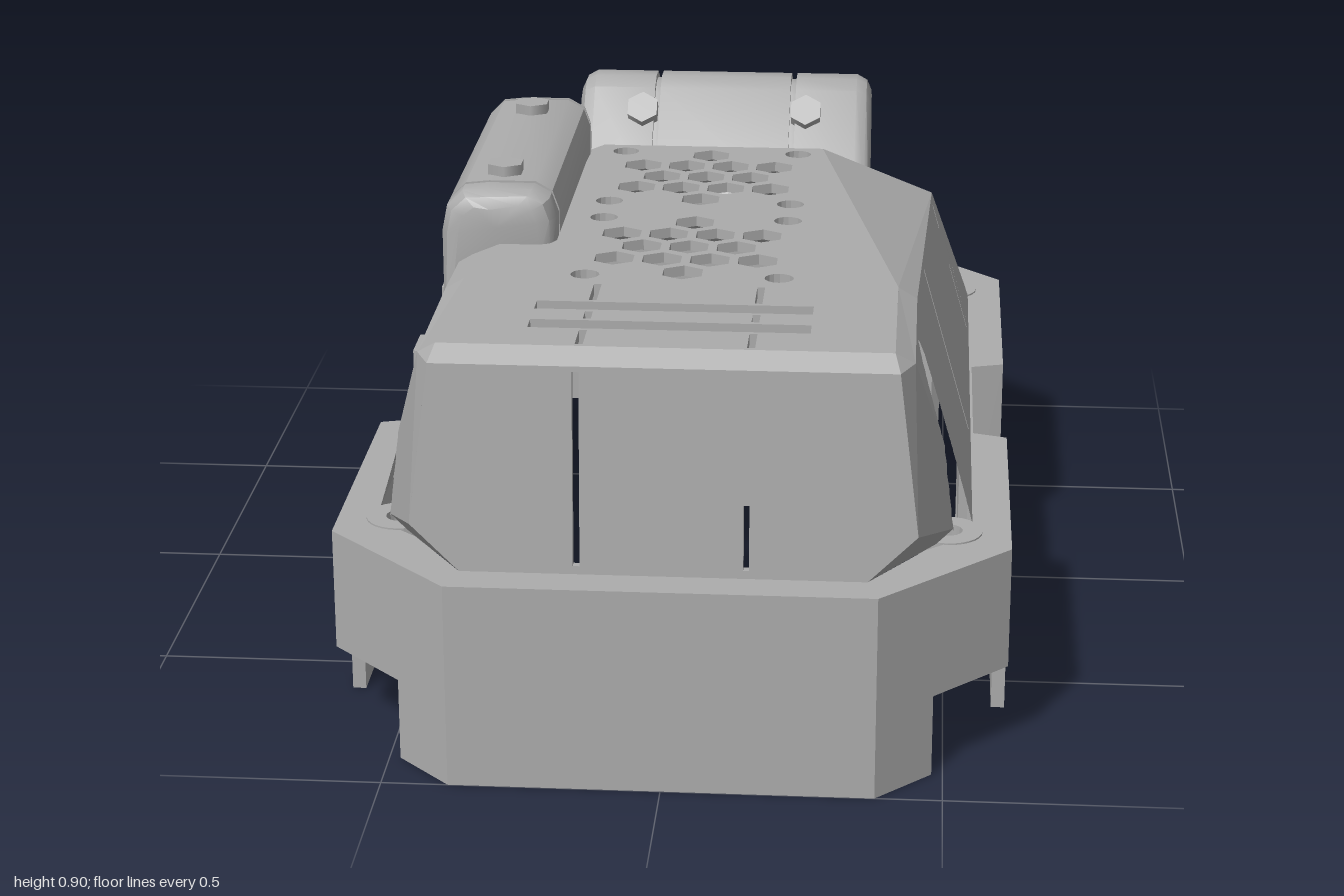
import * as THREE from 'three';
import { mergeGeometries, toCreasedNormals } from 'three/addons/utils/BufferGeometryUtils.js';

const shellGrey = new THREE.MeshStandardMaterial({ color: 0xacacac, side: THREE.DoubleSide });
shellGrey.name = 'shellGrey';

const shapeOf = (pts) => new THREE.Shape(pts.map(([a, b]) => new THREE.Vector2(a, b)));
const rect = (a0, a1, b0, b1) => [[a0, b0], [a1, b0], [a1, b1], [a0, b1]];
const ngon = (a, b, r, n, turn = 0) => Array.from({ length: n }, (_, i) => {
  const t = turn + (i / n) * Math.PI * 2;
  return [a + r * Math.cos(t), b + r * Math.sin(t)];
});

// Flat panel with holes, drawn in 2D and carried to 3D by map(a, b, depth)
function sheet(outline, holes, depth, map) {
  const shape = shapeOf(outline);
  shape.holes = holes.map(shapeOf);
  const g = new THREE.ExtrudeGeometry(shape, { depth, bevelEnabled: false });
  const p = g.attributes.position;
  for (let i = 0; i < p.count; i++) p.setXYZ(i, ...map(p.getX(i), p.getY(i), p.getZ(i)));
  g.computeVertexNormals();
  return g;
}

function fromTriangles(pos) {
  const g = new THREE.BufferGeometry();
  g.setAttribute('position', new THREE.Float32BufferAttribute(pos, 3));
  g.computeVertexNormals();
  return g;
}

// Triangular facet; with a screw position, an upright cylinder is cut out of it
function facet(side, a, b, c, screw, r = 0.06) {
  const n = screw ? 28 : 1, out = [];
  const [A, B, C] = [a, b, c].map((p) => new THREE.Vector3(...p));
  const plane = new THREE.Plane().setFromCoplanarPoints(A, B, C), N = plane.normal;
  const at = (i, j) => A.clone().addScaledVector(B.clone().sub(A), i / n).addScaledVector(C.clone().sub(A), j / n);
  const add = (...tri) => {
    if (screw) {
      const mx = (tri[0].x + tri[1].x + tri[2].x) / 3, mz = (tri[0].z + tri[1].z + tri[2].z) / 3;
      if (Math.hypot(mx - screw[0], mz - screw[1]) < r) return;
    }
    for (const v of tri) {
      if (screw) {
        const dx = v.x - screw[0], dz = v.z - screw[1], d = Math.hypot(dx, dz);
        if (d < r && d > 0.001) {
          v.x = screw[0] + (dx * r) / d;
          v.z = screw[1] + (dz * r) / d;
          v.y = Math.max(0.385, -(plane.constant + N.x * v.x + N.z * v.z) / N.y);
        }
      }
      out.push(side * v.x, v.y, v.z);
    }
  };
  for (let i = 0; i < n; i++) for (let j = 0; j < n - i; j++) {
    add(at(i, j), at(i + 1, j), at(i, j + 1));
    if (i + j < n - 1) add(at(i + 1, j), at(i + 1, j + 1), at(i, j + 1));
  }
  return fromTriangles(out);
}

// Closed profile swept along stations [position, inset], with capped ends
function loft(profile, stations, map, skip = () => false) {
  const n = profile.length, out = [];
  const ca = profile.reduce((s, p) => s + p[0], 0) / n, cb = profile.reduce((s, p) => s + p[1], 0) / n;
  const rings = stations.map(([s, inset]) => profile.map(([a, b]) => {
    const k = 1 - inset / Math.hypot(a - ca, b - cb);
    return map(ca + (a - ca) * k, cb + (b - cb) * k, s);
  }));
  for (let i = 0; i < rings.length - 1; i++) for (let j = 0; j < n; j++) {
    if (skip(j, (stations[i][0] + stations[i + 1][0]) / 2)) continue;
    const k = (j + 1) % n, [p, q, r, s] = [rings[i][j], rings[i][k], rings[i + 1][k], rings[i + 1][j]];
    out.push(...p, ...q, ...r, ...p, ...r, ...s);
  }
  for (const e of [0, rings.length - 1]) for (let j = 0; j < n; j++) {
    const tri = [map(ca, cb, stations[e][0]), rings[e][j], rings[e][(j + 1) % n]];
    out.push(...(e ? tri : tri.reverse()).flat());
  }
  return toCreasedNormals(fromTriangles(out), 0.6);
}
const groove = (s) => [[s - 0.006, 0], [s - 0.006, 0.014], [s + 0.006, 0.014], [s + 0.006, 0]];

export function createModel() {
  const model = new THREE.Group();
  const add = (name, geos) => {
    const list = [].concat(geos).map((g) => (g.index ? g.toNonIndexed() : g));
    list.forEach((g) => g.deleteAttribute('uv'));
    const mesh = new THREE.Mesh(mergeGeometries(list), shellGrey);
    mesh.name = name;
    model.add(mesh);
    return mesh;
  };

  // Skirt: plan points [x, z, bottom height of the wall leading to the point]
  const N = 0.155;
  const frontHalf = [[0, 1, 0], [0.38, 1, 0], [0.48, 0.9, 0], [0.615, 0.765, N], [0.615, 0.615, N], [0.615, 0.21, 0],
    [0.55, 0.19, 0], [0.55, 0.14, 0], [0.55, -0.14, N], [0.55, -0.19, 0], [0.615, -0.21, 0]];
  const rearEnd = [[0.615, -0.765, N], [0.49, -0.89, N], [0.38, -1, 0], [0, -1, 0]];
  const plans = {
    1: [...frontHalf, [0.615, -0.615, 0], ...rearEnd],
    '-1': [...frontHalf, [0.615, -0.31, 0], [0.55, -0.33, 0], [0.55, -0.615, 0], [0.615, -0.63, N], ...rearEnd],
  };
  const walls = [], T = 0.025;
  for (const s of [1, -1]) {
    const pts = plans[s];
    for (let i = 1; i < pts.length; i++) {
      const [x0, z0] = pts[i - 1], [x1, z1, y0] = pts[i];
      const dx = s * (x1 - x0), dz = z1 - z0, len = Math.hypot(dx, dz);
      const g = new THREE.BoxGeometry(len, 0.38 - y0, T);
      g.rotateY(Math.atan2(-dz, dx));
      g.translate((s * (x0 + x1)) / 2 + (s * dz / len) * T / 2, (0.38 + y0) / 2, (z0 + z1) / 2 - (s * dx / len) * T / 2);
      walls.push(g);
    }
  }
  add('skirt', walls);

  // Flange between skirt and cover, with the four screw bosses
  const mirrorX = (pts) => [...pts, ...pts.slice().reverse().map(([x, z]) => [-x, z])];
  const flat = (top) => (x, z, d) => [x, top - d, z];
  const rim = [...plans[1].slice(0, -1), ...plans[-1].slice(1).reverse().map(([x, z]) => [-x, z])];
  const corner = [[0.36, 0.93], [0.46, 0.78], [0.5, 0.745], [0.545, 0.72], [0.545, 0.64]];
  const inner = mirrorX([...corner, ...corner.slice().reverse().map(([x, z]) => [x, -z])]);
  add('flange', sheet(rim, [inner], 0.02, flat(0.385)));
  const bosses = [];
  for (const x of [-0.5, 0.5]) for (const z of [-0.69, 0.69])
    bosses.push(sheet(ngon(x, z, 0.063, 28), [ngon(x, z, 0.027, 20)], 0.035, flat(0.388)));
  add('screwBosses', bosses);

  // Roof with honeycomb vents, round holes, wide slots and strap slits
  const vents = [];
  for (const cz of [-0.2, 0.28]) {
    for (const [x, z] of [[0, -0.16], [0, 0.16], [-0.09, 0], [0, 0], [0.09, 0]]) vents.push(ngon(x, cz + z, 0.042, 6, Math.PI / 6));
    for (const x of [-0.135, -0.045, 0.045, 0.135]) for (const z of [-0.08, 0.08]) vents.push(ngon(x, cz + z, 0.042, 6, Math.PI / 6));
    for (const x of [-0.18, 0.18]) for (const z of [-0.183, 0.183]) vents.push(ngon(x, cz + z, 0.027, 16));
  }
  vents.push(rect(-0.25, 0.25, 0.625, 0.67), rect(-0.25, 0.25, 0.73, 0.775));
  for (const x of [-0.15, 0.15]) for (const [a, b] of [[0.52, 0.615], [0.68, 0.72], [0.785, 0.86]])
    vents.push(rect(x - 0.007, x + 0.007, a, b));
  add('roof', sheet(mirrorX([[0.4, 0.87], [0.4, 0.5], [0.23, -0.43]]), vents, 0.02,
    (x, z, d) => [x, 0.79 - 0.01 * (0.87 - z) - d, z]));

  // Front and rear panels
  add('frontPanel', sheet(mirrorX([[0.36, 0.385], [0.447, 0.47], [0.41, 0.765]]),
    [rect(-0.158, -0.146, 0.4, 0.755), rect(0.142, 0.152, 0.4, 0.52)], 0.015,
    (x, y, d) => [x, y, 0.915 - (y - 0.385) * 0.0605 + d]));
  add('rearSlope', sheet(mirrorX([[0.37, 0.385], [0.23, 0.777]]), [ngon(0, 0.575, 0.075, 24)], 0.012,
    (x, y, d) => [x, y, -0.94 + ((y - 0.385) * 0.51) / 0.392 + d]));

  // Side walls, bevels and corner facets
  const R0 = [0.4, 0.79, 0.87], R1 = [0.4, 0.786, 0.5], R2 = [0.23, 0.777, -0.43];
  const S0 = [0.435, 0.765, 0.85], S1 = [0.435, 0.765, 0.5], S2 = [0.46, 0.68, -0.45];
  const F0 = [0.41, 0.765, 0.907], apex = [0.447, 0.47, 0.925];
  const frontBase = [0.36, 0.385, 0.93], sideFront = [0.545, 0.385, 0.65], L1 = [0.545, 0.385, 0.5];
  const rearBase = [0.37, 0.385, -0.94], sideRear = [0.545, 0.385, -0.66], L2 = [0.545, 0.385, -0.45];
  const neg = ([x, y, z]) => [-x, y, z];
  const fScrew = [0.5, 0.69], rScrew = [0.5, -0.69];
  for (const s of [1, -1]) {
    const facets = [
      [R0, S0, R1], [R1, S0, S1], [R0, F0, S0], [R1, S1, S2], [R1, S2, R2], [R2, S2, rearBase],
      [S2, sideRear, rearBase, rScrew], [S2, L2, sideRear, rScrew],
      [S0, sideFront, L1, fScrew], [S0, L1, S1, fScrew],
      [F0, apex, S0], [S0, apex, sideFront, fScrew], [apex, frontBase, sideFront, fScrew],
    ].map((f) => facet(s, ...f));
    facets.push(sheet([[0.5, 0.385], [0.5, 0.765], [-0.45, 0.68], [-0.45, 0.385]],
      [rect(0.205, 0.216, 0.4, 0.725), rect(-0.395, -0.387, 0.4, 0.54), rect(-0.396, -0.386, 0.62, 0.67)], 0.012,
      (z, y, d) => [s * (0.533 - (y - 0.385) * 0.2895 + d), y, z]));
    add(s > 0 ? 'leftSide' : 'rightSide', facets);
  }
  add('frontBevel', [facet(1, R0, neg(R0), F0), facet(1, F0, neg(R0), neg(F0))]);

  // Long side pod on the right, with strap grooves
  add('sidePod', loft([[-0.475, 0.6], [-0.475, 0.8], [-0.465, 0.85], [-0.435, 0.88], [-0.39, 0.885], [-0.3, 0.885],
    [-0.268, 0.867], [-0.255, 0.83], [-0.255, 0.74]],
  [[-0.43, 0.035], [-0.42, 0.012], [-0.4, 0], ...groove(-0.39), ...groove(0.21), [0.255, 0], [0.277, 0.012], [0.287, 0.035]],
  (a, b, s) => [a, b, s]));

  // Rear pod, open inside, with a recessed back plate around a round port
  add('rearPod', loft([[-0.985, 0.387], [-0.985, 0.74], [-0.965, 0.785], [-0.92, 0.81], [-0.87, 0.812], [-0.83, 0.795],
    [-0.655, 0.6], [-0.94, 0.387]],
  [[-0.322, 0.035], [-0.312, 0.012], [-0.29, 0], ...groove(-0.15), ...groove(0.15), [0.29, 0], [0.312, 0.012], [0.322, 0.035]],
  (a, b, s) => [s, b, a], (j, x) => Math.abs(x) < 0.29 && (j === 0 || j > 5)));
  const port = [];
  for (const m of [0, Math.PI]) {
    const c = Math.cos(m);
    port.push([0.19 * c, 0.575 - 0.055 * c], [0.19 * c, 0.575 + 0.055 * c]);
    for (let i = 0; i <= 10; i++) {
      const t = m + 0.7 + (i / 10) * (Math.PI - 1.4);
      port.push([0.085 * Math.cos(t), 0.575 + 0.085 * Math.sin(t)]);
    }
  }
  add('rearPodBack', sheet(rect(-0.29, 0.29, 0.387, 0.74), [port], 0.02, (x, y, d) => [x, y, -0.985 + d]));
  add('portPlate', sheet(rect(-0.2, 0.2, 0.48, 0.67), [ngon(0, 0.575, 0.075, 28)], 0.012, (x, y, d) => [x, y, -0.966 + d]));

  // Hexagonal bolt heads
  const bolt = (name, x, y, z, tilt) => {
    const mesh = add(name, new THREE.CylinderGeometry(0.037, 0.037, 0.04, 6));
    mesh.position.set(x, y, z);
    mesh.rotation.x = tilt;
  };
  for (const z of [-0.295, 0.145]) bolt('sidePodBolt', -0.365, 0.885, z, 0);
  for (const x of [-0.18, 0.18]) bolt('rearPodBolt', x, 0.752, -0.79, 0.84);
  return model;
}
